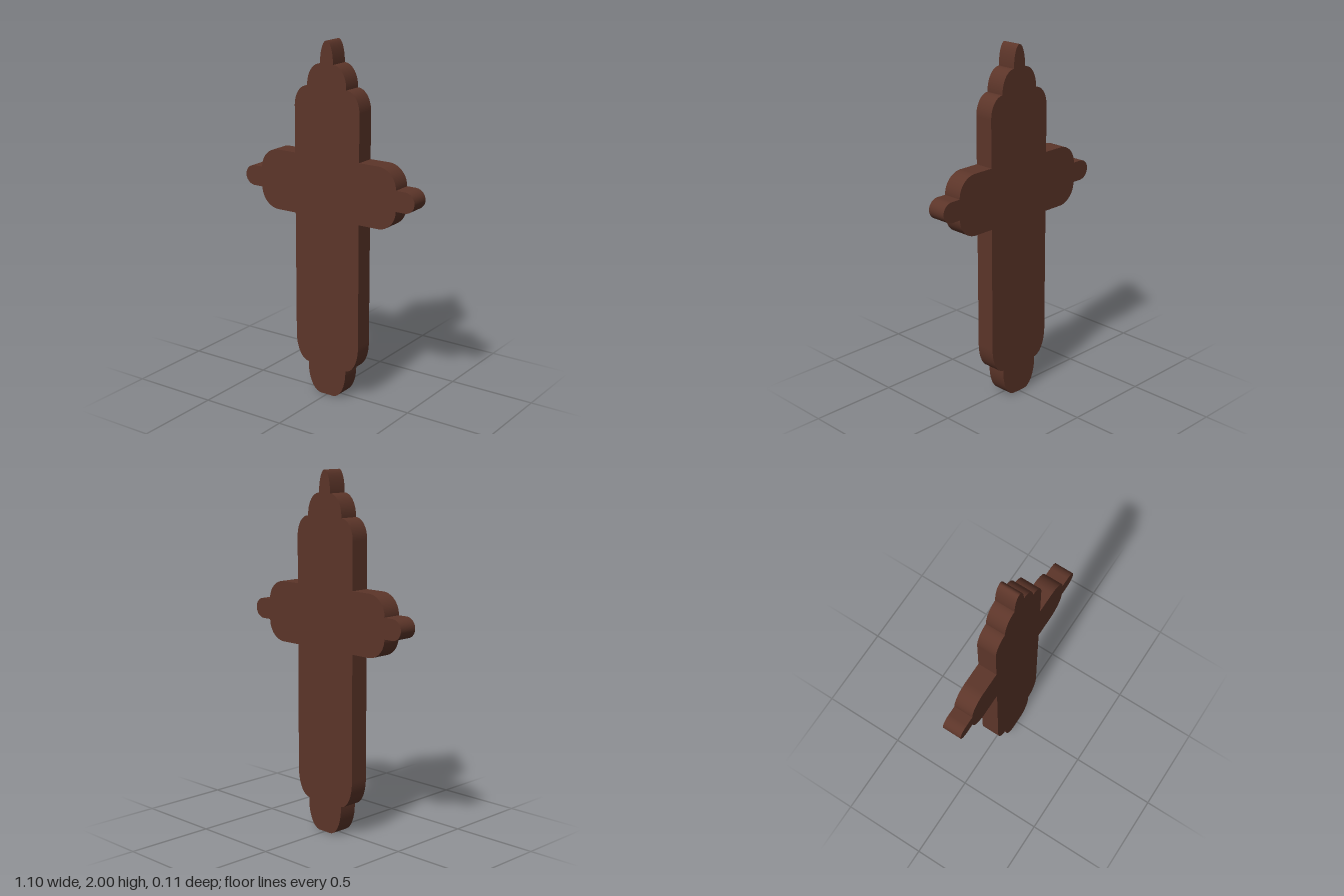
import * as THREE from 'three';

const DEPTH = 0.11;
const wood = new THREE.MeshStandardMaterial({ color: 0x5c3529 });

// Slab standing on y = 0 with elliptical top corners, and bottom corners if ryBottom > 0
function slab(name, halfWidth, height, rx, ryTop, ryBottom = 0) {
  const s = new THREE.Shape();
  const w = halfWidth, inner = halfWidth - rx;
  const corner = (x, y, ry, start) =>
    s.absellipse(x, y, rx, ry, start, start + Math.PI / 2, false, 0);
  if (ryBottom > 0) {
    s.moveTo(-inner, 0);
    s.lineTo(inner, 0);
    corner(inner, ryBottom, ryBottom, -Math.PI / 2);
  } else {
    s.moveTo(-w, 0);
    s.lineTo(w, 0);
  }
  corner(inner, height - ryTop, ryTop, 0);
  corner(-inner, height - ryTop, ryTop, Math.PI / 2);
  if (ryBottom > 0) corner(-inner, ryBottom, ryBottom, Math.PI);
  s.closePath();
  const geometry = new THREE.ExtrudeGeometry(s, { depth: DEPTH, bevelEnabled: false, curveSegments: 12 });
  geometry.translate(0, 0, -DEPTH / 2);
  const mesh = new THREE.Mesh(geometry, wood);
  mesh.name = name;
  return mesh;
}

export function createModel() {
  const group = new THREE.Group();
  group.name = 'steppedCross';

  // Each piece: mesh, base position, turn about z
  const place = (mesh, x, y, turn = 0) => {
    mesh.position.set(x, y, 0);
    mesh.rotation.z = turn;
    group.add(mesh);
  };

  // Upright with stepped top and rounded foot
  place(slab('upright', 0.208, 1.58, 0.083, 0.115, 0.155), 0, 0.172);
  place(slab('topStep', 0.125, 0.125, 0.084, 0.118), 0, 1.752);
  place(slab('topFinial', 0.041, 0.123, 0.041, 0.12), 0, 1.877);
  place(slab('foot', 0.125, 0.172, 0.085, 0.16), 0, 0.172, Math.PI);

  // Arms and their rounded tips, mirrored
  for (const side of [1, -1]) {
    const label = side > 0 ? 'left' : 'right';
    const turn = -side * Math.PI / 2;
    place(slab(label + 'Arm', 0.17, 0.229, 0.113, 0.112), side * 0.208, 1.206, turn);
    place(slab(label + 'ArmTip', 0.057, 0.113, 0.057, 0.06), side * 0.437, 1.206, turn);
  }
  return group;
}
